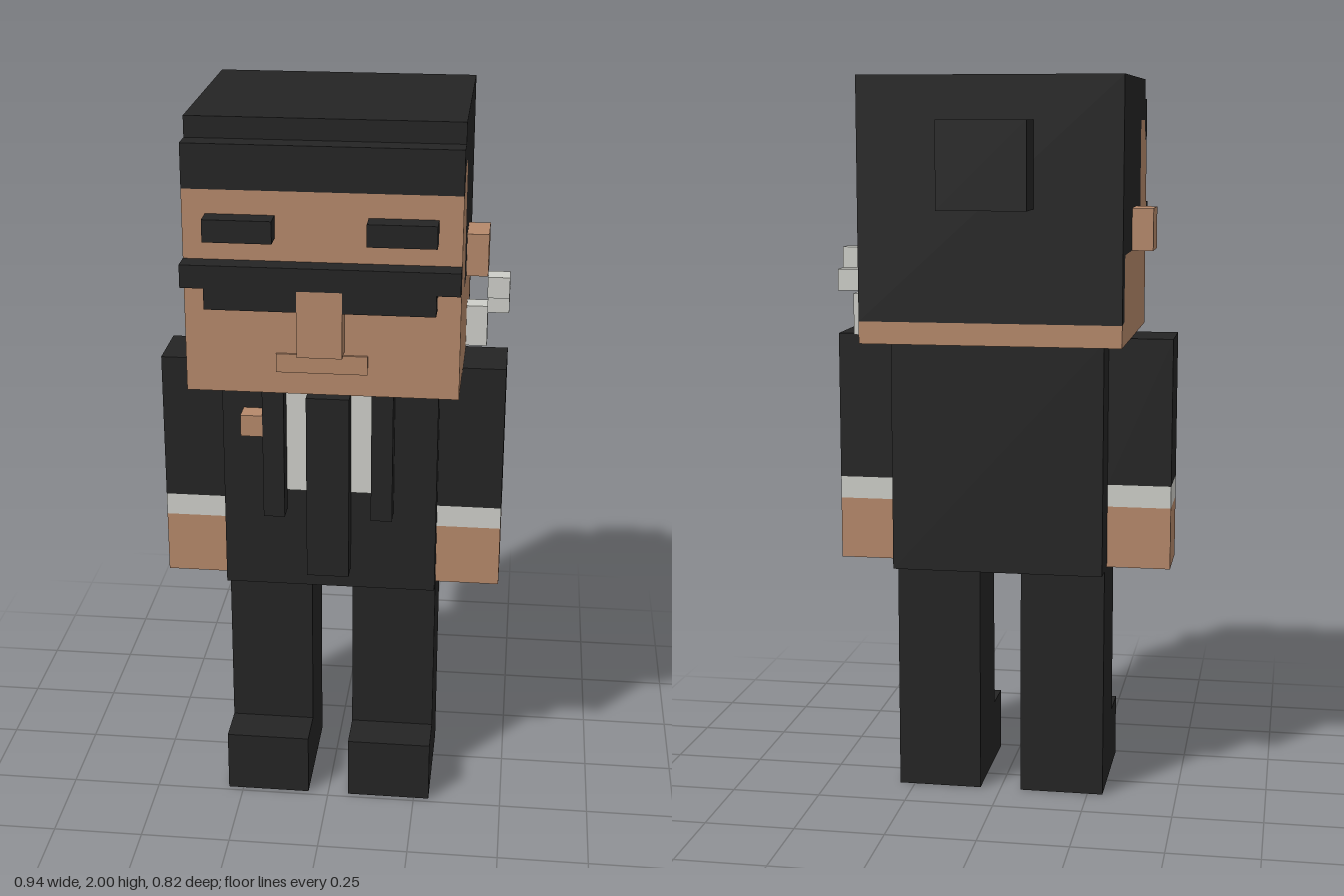
import * as THREE from 'three';

const mat = (name, color) => {
  const m = new THREE.MeshStandardMaterial({ color });
  m.name = name;
  return m;
};

export function createModel() {
  const black = mat('black', 0x242424);
  const skin = mat('skin', 0xb5886a);
  const white = mat('offWhite', 0xcdcec8);

  const group = (name, parent) => {
    const g = new THREE.Group();
    g.name = name;
    if (parent) parent.add(g);
    return g;
  };

  // Box given by its extents on each axis
  const box = (parent, name, material, [x0, x1], [y0, y1], [z0, z1]) => {
    const mesh = new THREE.Mesh(new THREE.BoxGeometry(x1 - x0, y1 - y0, z1 - z0), material);
    mesh.position.set((x0 + x1) / 2, (y0 + y1) / 2, (z0 + z1) / 2);
    mesh.name = name;
    parent.add(mesh);
  };

  // Same box on the left (+x) and mirrored on the right
  const pair = (parent, name, material, [x0, x1], y, z) => {
    box(parent, name + 'Left', material, [x0, x1], y, z);
    box(parent, name + 'Right', material, [-x1, -x0], y, z);
  };

  // Side profile of [z, y] points, extruded across the head's width
  const profile = (parent, name, material, points, halfWidth) => {
    const shape = new THREE.Shape(points.map(([z, y]) => new THREE.Vector2(-z, y)));
    const geo = new THREE.ExtrudeGeometry(shape, { depth: halfWidth * 2, bevelEnabled: false });
    geo.translate(0, 0, -halfWidth).rotateY(Math.PI / 2);
    const mesh = new THREE.Mesh(geo, material);
    mesh.name = name;
    parent.add(mesh);
  };

  const model = group('figure');

  // Head: skin and hair share one stepped hairline
  const head = group('head', model);
  const hairline = [
    [0.353, 1.83], [0.305, 1.83], [0.305, 1.85], [0.29, 1.865], [0.285, 1.885], [0.18, 1.885],
    [0.175, 1.87], [0.175, 1.535], [-0.23, 1.535], [-0.24, 1.52], [-0.24, 1.36], [-0.293, 1.355],
  ];
  profile(head, 'face', skin, [[-0.293, 1.295], [0.353, 1.295], ...hairline], 0.353);
  profile(head, 'hair', black,
    [[-0.293, 2], [0.293, 2], [0.293, 1.945], [0.353, 1.945], ...hairline], 0.353);
  box(head, 'hairBun', black, [-0.118, 0.118], [1.655, 1.885], [-0.411, -0.293]);

  // Face details
  const front = [0.353, 0.411];
  pair(head, 'eye', black, [0.118, 0.293], [1.71, 1.768], front);
  box(head, 'moustacheTop', black, [-0.353, 0.353], [1.59, 1.65], front);
  pair(head, 'moustacheSide', black, [0.058, 0.293], [1.535, 1.59], front);
  box(head, 'nose', skin, [-0.058, 0.058], [1.415, 1.59], front);
  box(head, 'mouth', skin, [-0.118, 0.118], [1.355, 1.405], [0.353, 0.36]);
  pair(head, 'ear', skin, [0.353, 0.411], [1.535, 1.65], [-0.058, 0.058]);

  // Earring on the left ear
  const earring = group('earring', head);
  box(earring, 'earringTop', white, [0.411, 0.47], [1.475, 1.533], [0, 0.058]);
  box(earring, 'earringMiddle', white, [0.411, 0.47], [1.415, 1.475], [-0.058, 0]);
  box(earring, 'earringDrop', white, [0.353, 0.411], [1.298, 1.413], [-0.117, -0.058]);

  // Suit
  const suit = group('suit', model);
  const relief = [0.176, 0.235];
  box(suit, 'jacket', black, [-0.293, 0.293], [0.65, 1.295], [-0.176, 0.176]);
  box(suit, 'shirt', white, [-0.118, 0.118], [0.942, 1.295], [0.176, 0.18]);
  pair(suit, 'lapel', black, [0.118, 0.176], [0.885, 1.295], relief);
  box(suit, 'tie', black, [-0.058, 0.058], [0.71, 1.236], relief);
  box(suit, 'chestOrnament', skin, [-0.235, -0.176], [1.12, 1.18], relief);

  // Arms
  const arms = group('arms', model);
  const armX = [0.293, 0.47], armZ = [-0.058, 0.117];
  pair(arms, 'sleeve', black, armX, [0.885, 1.295], armZ);
  pair(arms, 'cuff', white, armX, [0.823, 0.885], armZ);
  pair(arms, 'hand', skin, armX, [0.65, 0.823], armZ);

  // Legs and shoes
  const legs = group('legs', model);
  pair(legs, 'leg', black, [0.058, 0.293], [0.178, 0.65], [-0.115, 0.117]);
  pair(legs, 'shoe', black, [0.058, 0.293], [0, 0.178], [-0.115, 0.235]);

  return model;
}
